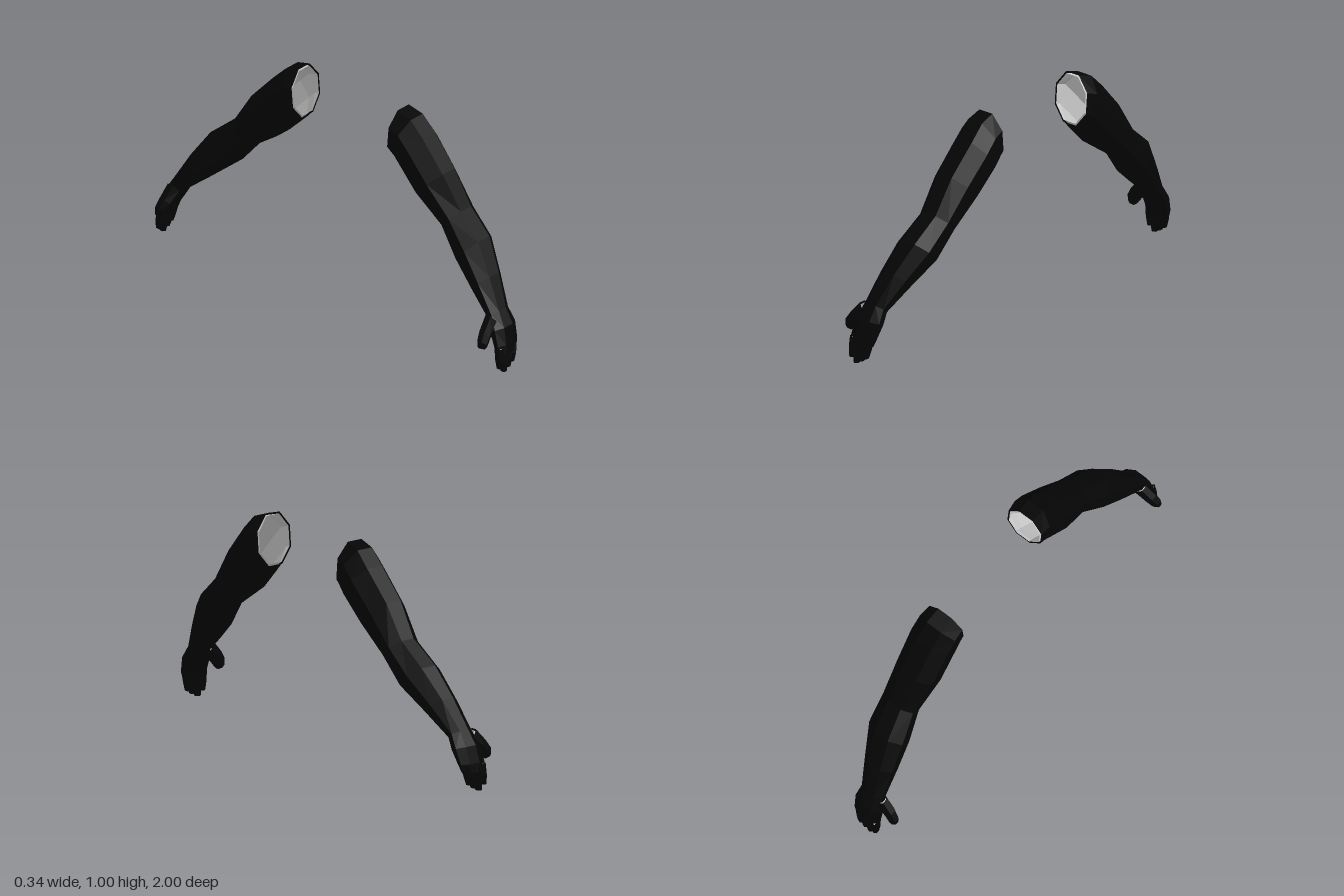
import * as THREE from 'three';

const outer = new THREE.MeshStandardMaterial({ color: 0x050505, flatShading: true, side: THREE.DoubleSide });
const inner = new THREE.MeshStandardMaterial({ color: 0xcccccc, flatShading: true, side: THREE.DoubleSide });

// Skin over rings given as [centre, half axis u, half axis v]; u x v points along the limb.
// inset shrinks every ring, side = -1 mirrors the part in z.
function loft(rings, sides, inset, side, capEnd) {
  const pos = [], idx = [];
  const grow = 1 / Math.cos(Math.PI / sides);
  const tri = (a, b, c) => (side > 0 ? idx.push(a, b, c) : idx.push(a, c, b));
  for (const [c, u, v] of rings) {
    const lu = Math.hypot(...u), lv = Math.hypot(...v);
    const ku = Math.max(0.2, 1 - inset / lu), kv = Math.max(0.2, 1 - inset / lv);
    for (let j = 0; j < sides; j++) {
      const a = ((j + 0.5) / sides) * Math.PI * 2;
      const cu = Math.cos(a) * grow * ku, cv = Math.sin(a) * grow * kv;
      const p = c.map((n, k) => n + u[k] * cu + v[k] * cv);
      pos.push(p[0], p[1], p[2] * side);
    }
  }
  for (let i = 0; i < rings.length - 1; i++) {
    for (let j = 0; j < sides; j++) {
      const a = i * sides + j, b = i * sides + ((j + 1) % sides);
      tri(a, b, a + sides);
      tri(b, b + sides, a + sides);
    }
  }
  if (capEnd) {
    const s = (rings.length - 1) * sides;
    for (let j = 1; j < sides - 1; j++) tri(s, s + j, s + j + 1);
  }
  const g = new THREE.BufferGeometry();
  g.setAttribute('position', new THREE.Float32BufferAttribute(pos, 3));
  g.setIndex(idx);
  const flat = g.toNonIndexed();
  flat.computeVertexNormals();
  return flat;
}

// Ring from its upper point (z, y), lower point (z, y) and x range
const section = ([tz, ty, bz, by, x0, x1]) => [
  [(x0 + x1) / 2, (ty + by) / 2, (tz + bz) / 2],
  [(x1 - x0) / 2, 0, 0],
  [0, (ty - by) / 2, (tz - bz) / 2],
];

// Shoulder cut, upper arm, elbow, forearm, wrist, palm
const armSections = [
  [0.285, 1.0, 0.265, 0.77, -0.025, 0.155],
  [0.36, 0.978, 0.275, 0.763, -0.028, 0.165],
  [0.43, 0.91, 0.30, 0.735, -0.03, 0.168],
  [0.55, 0.78, 0.40, 0.635, -0.035, 0.156],
  [0.65, 0.63, 0.55, 0.53, -0.02, 0.142],
  [0.77, 0.53, 0.65, 0.41, -0.05, 0.132],
  [0.86, 0.40, 0.76, 0.32, -0.067, 0.08],
  [0.935, 0.27, 0.88, 0.225, -0.08, 0.03],
  [0.975, 0.205, 0.905, 0.185, -0.098, 0.036],
  [0.993, 0.13, 0.94, 0.125, -0.104, 0.024],
  [0.998, 0.09, 0.95, 0.09, -0.106, 0.01],
].map(section);

// Thumb angled away from the palm
const thumbRings = [
  [[-0.07, 0.23, 0.915], [0.026, -0.03, 0], [0, 0, 0.026]],
  [[-0.125, 0.183, 0.922], [0.02, -0.022, 0], [0, 0, 0.024]],
  [[-0.15, 0.15, 0.928], [0.02, -0.018, 0], [0, 0, 0.021]],
  [[-0.157, 0.129, 0.93], [0.016, -0.007, 0], [0, 0, 0.014]],
];

// Fingers: root x, tip x, tip height
const fingers = [
  ['indexFinger', -0.09, -0.095, 0.025],
  ['middleFinger', -0.06, -0.07, 0.003],
  ['ringFinger', -0.03, -0.044, 0.017],
  ['littleFinger', -0.003, -0.019, 0.034],
];
const fingerRings = (x0, x1, y) => [
  [[x0, 0.12, 0.972], [0.016, 0, 0], [0, 0, 0.022]],
  [[x0 * 0.4 + x1 * 0.6, y + 0.04, 0.978], [0.0155, 0, 0], [0, 0, 0.021]],
  [[x1, y, 0.981], [0.012, 0, 0], [0, 0, 0.014]],
];

function makeArm(side) {
  const arm = new THREE.Group();
  arm.name = side > 0 ? 'frontArm' : 'backArm';
  // Dark outer skin with a pale lining just inside it
  for (const [label, material, inset] of [['Skin', outer, 0], ['Lining', inner, 0.008]]) {
    const add = (name, rings, sides) => {
      const mesh = new THREE.Mesh(loft(rings, sides, inset, side, true), material);
      mesh.name = name + label;
      arm.add(mesh);
    };
    add('arm', armSections, 8);
    add('thumb', thumbRings, 6);
    for (const [name, x0, x1, y] of fingers) add(name, fingerRings(x0, x1, y), 6);
  }
  return arm;
}

export function createModel() {
  const model = new THREE.Group();
  model.name = 'armPair';
  model.add(makeArm(1), makeArm(-1));
  return model;
}
